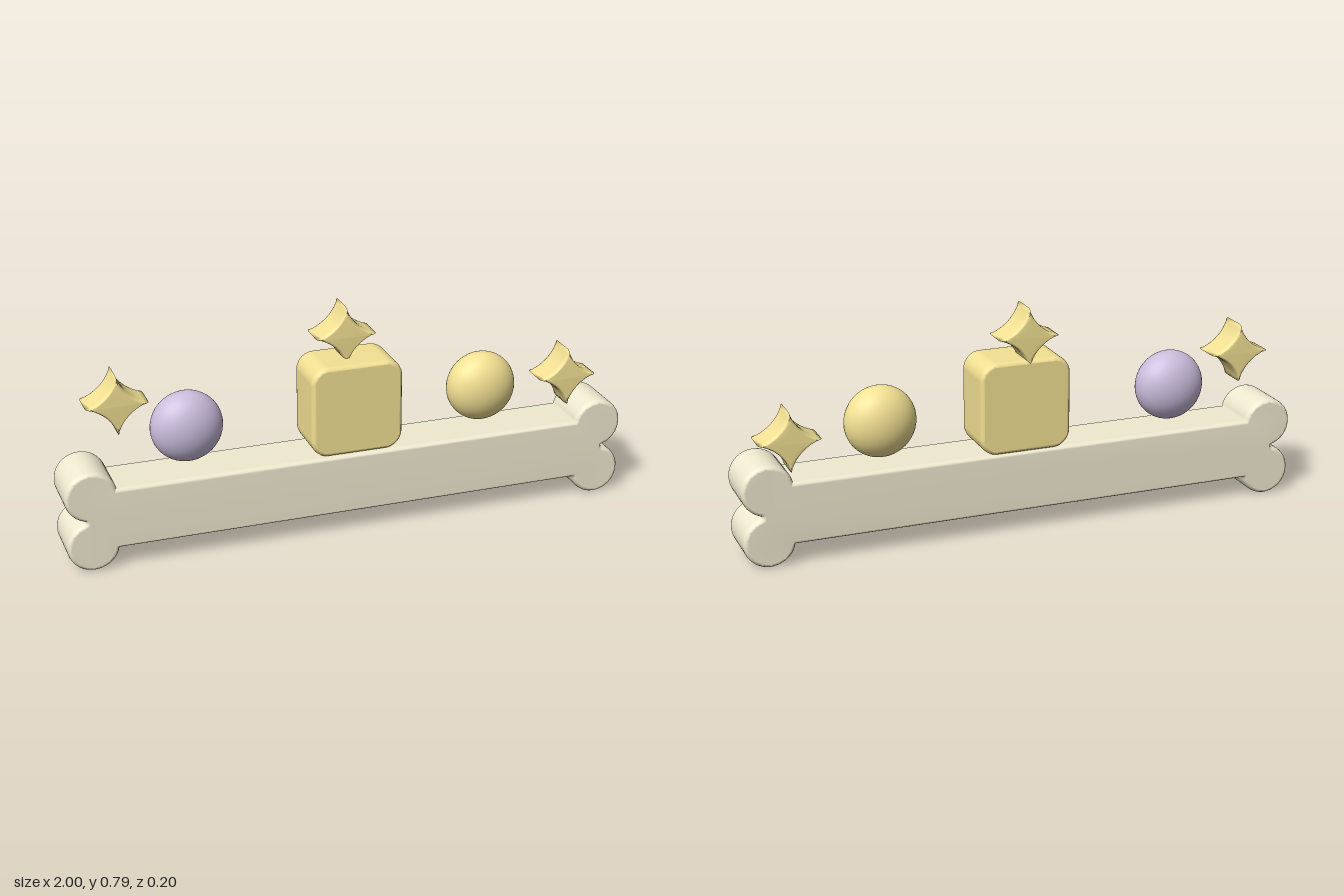
import * as THREE from 'three';
import { mergeVertices } from 'three/addons/utils/BufferGeometryUtils.js';

const material = (color) => new THREE.MeshStandardMaterial({ color });

// Extrudes a shape between two z planes, with rounded rims kept inside its outline and soft shading
function slab(shape, zBack, zFront, rim, curveSegments) {
  const thickness = 0.02;
  const geometry = new THREE.ExtrudeGeometry(shape, {
    depth: zFront - zBack - 2 * thickness,
    bevelThickness: thickness, bevelSize: rim, bevelOffset: -rim,
    bevelSegments: 3, curveSegments,
  });
  geometry.translate(0, 0, zBack + thickness);
  geometry.deleteAttribute('normal');
  geometry.deleteAttribute('uv');
  const smooth = mergeVertices(geometry, 1e-4);
  smooth.computeVertexNormals();
  return smooth;
}

// Bone outline: a straight bar with two round knobs at each end
function boneShape() {
  const x = 0.9115, r = 0.0885, low = 0.0885, high = 0.2665;
  const join = 0.21; // where a knob meets the bar
  const notch = Math.PI / 2 - 0.25; // where two knobs meet
  const s = new THREE.Shape();
  s.absarc(x, low, r, Math.PI + join, Math.PI * 2 + notch);
  s.absarc(x, high, r, -notch, Math.PI - join);
  s.absarc(-x, high, r, join, Math.PI + notch);
  s.absarc(-x, low, r, Math.PI - notch, Math.PI * 2 - join);
  return s;
}

// Four-pointed star with concave sides
function starShape(rx, ry, waist) {
  const s = new THREE.Shape();
  s.moveTo(rx, 0);
  s.quadraticCurveTo(waist, waist, 0, ry);
  s.quadraticCurveTo(-waist, waist, -rx, 0);
  s.quadraticCurveTo(-waist, -waist, 0, -ry);
  s.quadraticCurveTo(waist, -waist, rx, 0);
  return s;
}

// Square with rounded corners
function roundedSquare(h, r) {
  const s = new THREE.Shape();
  s.absarc(h - r, h - r, r, 0, Math.PI / 2);
  s.absarc(r - h, h - r, r, Math.PI / 2, Math.PI);
  s.absarc(r - h, r - h, r, Math.PI, Math.PI * 1.5);
  s.absarc(h - r, r - h, r, Math.PI * 1.5, Math.PI * 2);
  return s;
}

export function createModel() {
  const model = new THREE.Group();
  const cream = material(0xf0ead0);
  const gold = material(0xf3e193);
  const lilac = material(0xcabddd);

  function add(name, geometry, mat, x, y, z = 0) {
    const mesh = new THREE.Mesh(geometry, mat);
    mesh.name = name;
    mesh.position.set(x, y, z);
    model.add(mesh);
  }

  // Bone along the bottom
  add('bone', slab(boneShape(), -0.1, 0.1, 0.012, 24), cream, 0, 0);

  // Rounded block in the middle
  add('block', slab(roundedSquare(0.162, 0.06), -0.1, 0.088, 0.012, 8), gold, 0.014, 0.446);

  // Flattened balls
  const ball = new THREE.SphereGeometry(1, 40, 28).scale(0.124, 0.124, 0.088);
  add('rightBall', ball, lilac, -0.558, 0.43, -0.011);
  add('leftBall', ball, gold, 0.502, 0.43, -0.011);

  // Stars
  const star = slab(starShape(0.106, 0.104, 0.025), -0.1, 0.018, 0.008, 10);
  add('rightStar', star, gold, -0.792, 0.541);
  add('middleStar', star, gold, 0, 0.683);
  add('leftStar', star, gold, 0.83, 0.423);

  return model;
}
